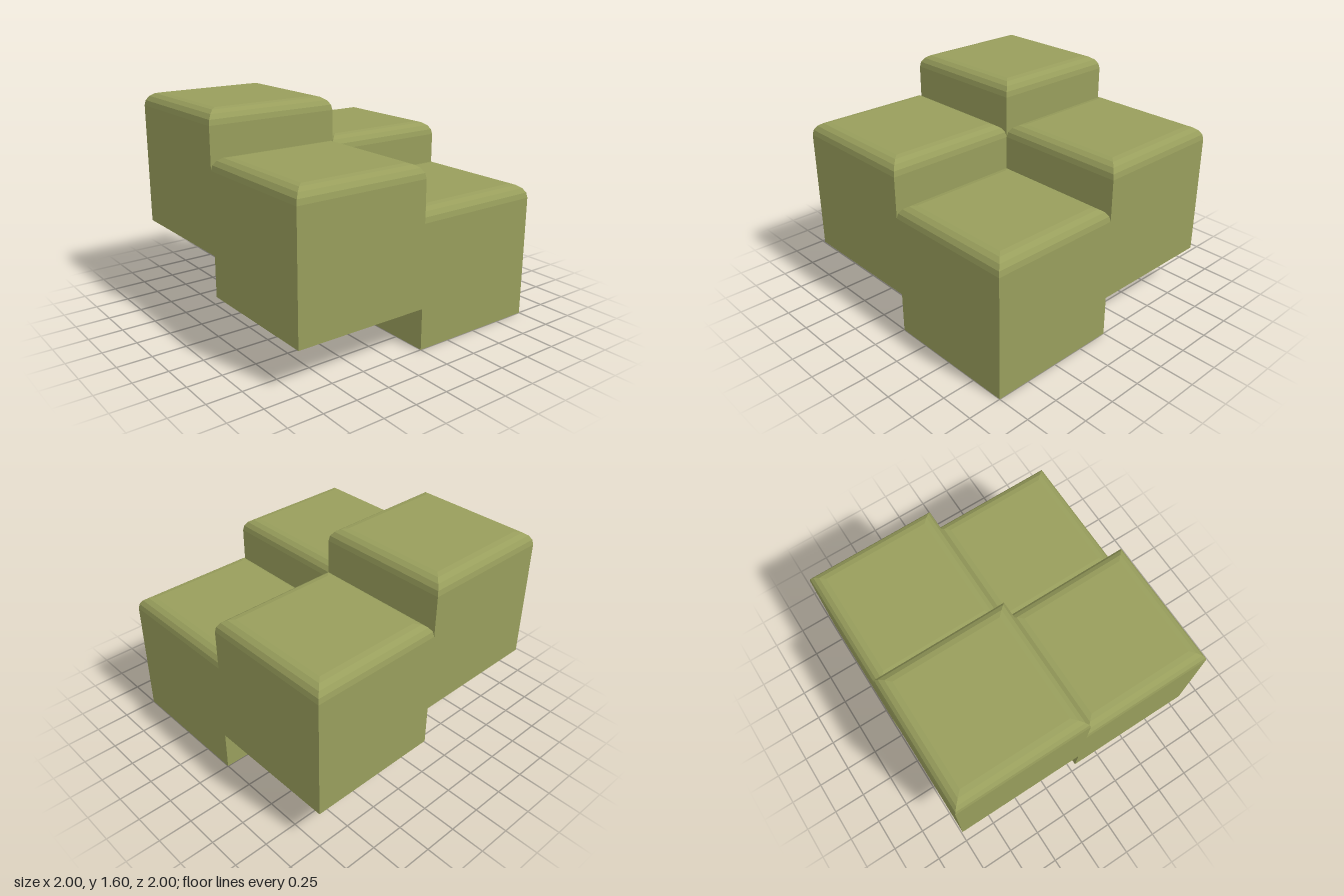
import * as THREE from 'three';

const olive = new THREE.MeshStandardMaterial({ color: 0x989e5c, side: THREE.DoubleSide });
olive.name = 'olive';

// Square block, open underneath, with a rounded and mitred top edge
function blockGeometry(half, height, radius, steps) {
  const profile = [new THREE.Vector2(half, 0)];
  for (let i = 0; i <= steps; i++) {
    const a = (i / steps) * Math.PI / 2;
    profile.push(new THREE.Vector2(
      half - radius * (1 - Math.cos(a)),
      height - radius * (1 - Math.sin(a))
    ));
  }
  profile.push(new THREE.Vector2(0, height));
  // Four-sided lathe: corner distance is the half width times root two
  profile.forEach((p) => { p.x *= Math.SQRT2; });
  const geometry = new THREE.LatheGeometry(profile, 4, Math.PI / 4).toNonIndexed();
  geometry.computeVertexNormals();
  return geometry;
}

export function createModel() {
  const model = new THREE.Group();
  model.name = 'steppedBlocks';
  const geometry = blockGeometry(0.5, 1, 0.1, 4);

  // Four equal blocks, each raised by its place in the stack of steps
  const blocks = [
    ['frontLeftBlock', 0.5, 0, 0.5],
    ['frontRightBlock', -0.5, 0.3, 0.5],
    ['backLeftBlock', 0.5, 0.3, -0.5],
    ['backRightBlock', -0.5, 0.6, -0.5],
  ];
  for (const [name, x, y, z] of blocks) {
    const block = new THREE.Mesh(geometry, olive);
    block.name = name;
    block.position.set(x, y, z);
    model.add(block);
  }
  return model;
}
